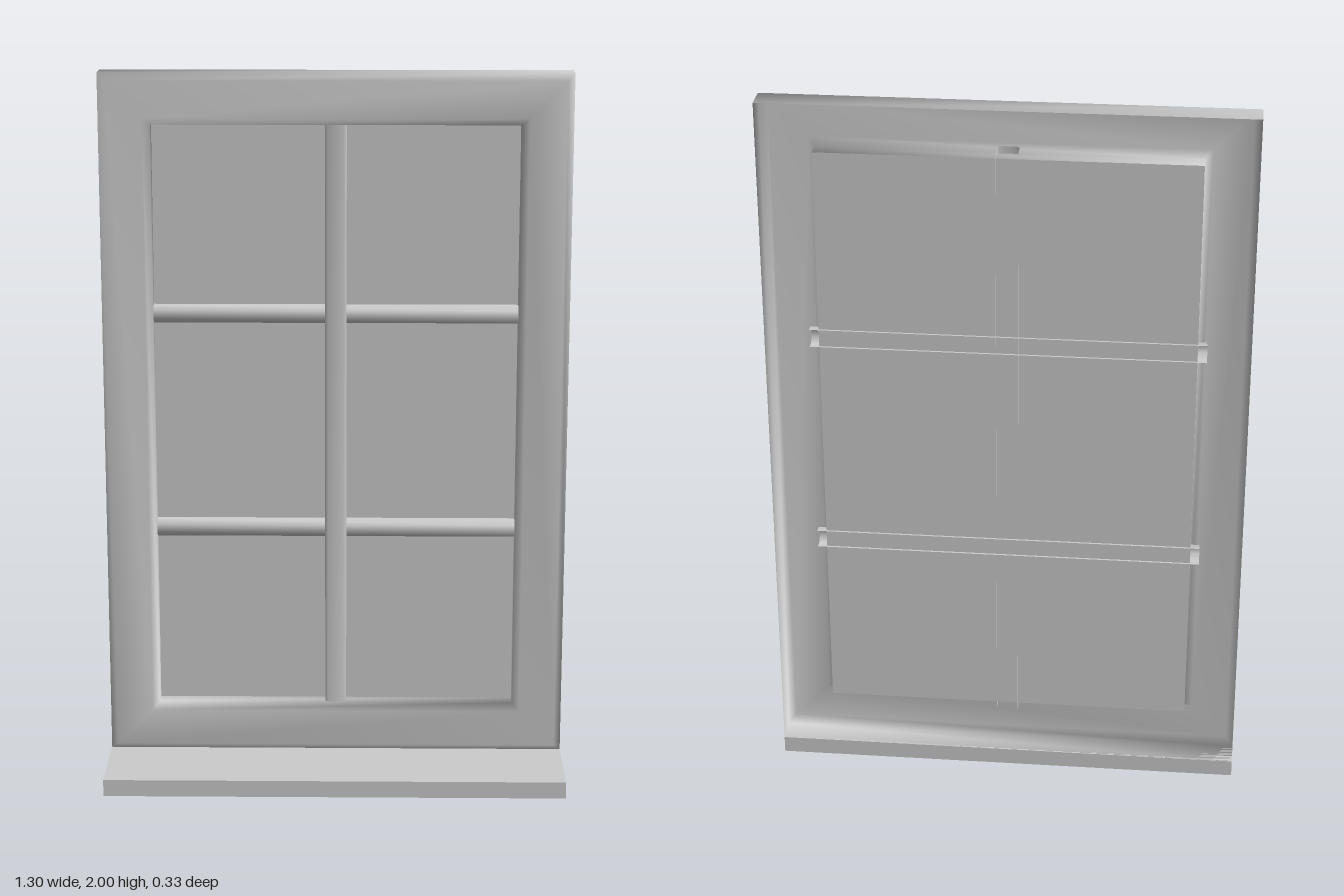
import * as THREE from 'three';

const material = new THREE.MeshStandardMaterial({ color: 0xcccccc, side: THREE.DoubleSide });

function addMesh(group, name, geometry, x = 0, y = 0, z = 0) {
  const mesh = new THREE.Mesh(geometry, material);
  mesh.name = name;
  mesh.position.set(x, y, z);
  group.add(mesh);
  return mesh;
}

// Skin a row of cross-sections with shared, smooth vertices
function loft(sections, closed) {
  const n = sections[0].length;
  const index = [];
  for (let i = 0; i < sections.length - 1; i++) {
    for (let j = 0; j < (closed ? n : n - 1); j++) {
      const k = (j + 1) % n;
      const a = i * n + j, b = i * n + k, c = b + n, d = a + n;
      index.push(a, b, c, a, c, d);
    }
  }
  const geometry = new THREE.BufferGeometry();
  geometry.setAttribute('position', new THREE.Float32BufferAttribute(sections.flat(2), 3));
  geometry.setIndex(index);
  geometry.computeVertexNormals();
  return geometry;
}

// Hollow glazing bar along x, open at the back and at its ends
function barGeometry(length, half, back, front, bevel) {
  const profile = [
    [half, back], [half, front - bevel], [half - bevel, front],
    [bevel - half, front], [-half, front - bevel], [-half, back],
  ];
  return loft([-length / 2, length / 2].map(x => profile.map(([y, z]) => [x, y, z])), false);
}

export function createModel() {
  const group = new THREE.Group();
  group.name = 'window';

  const W = 0.65, bottom = 0.048, top = 2, inset = 0.142, paneZ = -0.133;
  const midY = (bottom + top) / 2;

  // Sill
  addMesh(group, 'sill', new THREE.BoxGeometry(2 * W, bottom, 0.33), 0, bottom / 2, 0);

  // Mitred frame: a shell open at the back, stepping from outer wall to inner rim
  const steps = [[0, -0.165], [0, -0.09], [0.02, -0.07], [inset - 0.02, -0.07], [inset, -0.09], [inset, paneZ]];
  const rings = steps.map(([d, z]) => [
    [d - W, bottom + d, z], [W - d, bottom + d, z], [W - d, top - d, z], [d - W, top - d, z],
  ]);
  addMesh(group, 'frame', loft(rings, true));

  // Glass pane closing the inner rim
  const paneW = 2 * (W - inset), paneH = top - bottom - 2 * inset;
  addMesh(group, 'pane', new THREE.PlaneGeometry(paneW, paneH), 0, midY, paneZ);

  // Glazing bars, running slightly past the rim
  const upright = addMesh(group, 'verticalBar', barGeometry(paneH + 0.04, 0.03, -0.139, -0.094, 0.008), 0, midY, 0);
  upright.rotation.z = Math.PI / 2;
  for (const y of [0.707, 1.327]) {
    addMesh(group, 'horizontalBar', barGeometry(paneW + 0.05, 0.025, -0.139, -0.103, 0.014), 0, y, 0);
  }
  return group;
}
